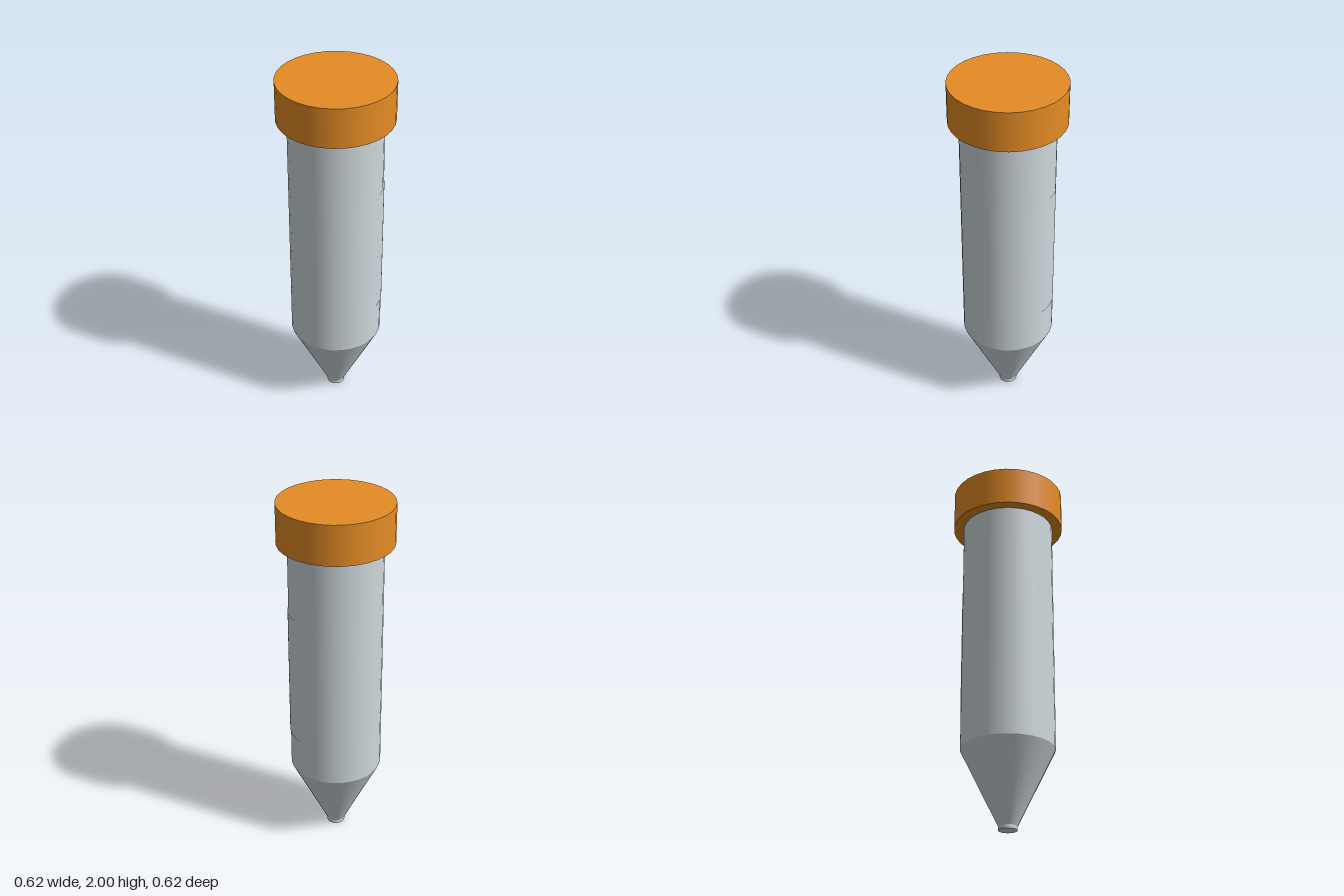
import * as THREE from 'three';

const SIDES = 32;

export function createModel() {
  const group = new THREE.Group();
  const plastic = new THREE.MeshStandardMaterial({ color: 0xcfd8dc });
  plastic.name = 'pale grey plastic';
  plastic.side = THREE.DoubleSide;
  const orange = new THREE.MeshStandardMaterial({ color: 0xe58c26 });
  orange.name = 'orange cap';

  // Upright round section between two heights
  function section(name, material, rTop, rBottom, y0, y1, open = false, start = 0, sweep = Math.PI * 2) {
    const geometry = new THREE.CylinderGeometry(rTop, rBottom, y1 - y0, SIDES, 1, open, start, sweep);
    const mesh = new THREE.Mesh(geometry, material);
    mesh.name = name;
    mesh.position.y = (y0 + y1) / 2;
    group.add(mesh);
  }

  section('tip', plastic, 0.05, 0.05, 0, 0.025);
  section('cone', plastic, 0.254, 0.05, 0.02, 0.435);
  section('tube', plastic, 0.254, 0.254, 0.435, 1.79);
  section('cap', orange, 0.311, 0.311, 1.78, 2);

  // Thin curved writing panel wrapped around the back right of the tube
  section('writingPanel', plastic, 0.257, 0.257, 0.65, 1.39, true, 1.7, 1.8);

  return group;
}
